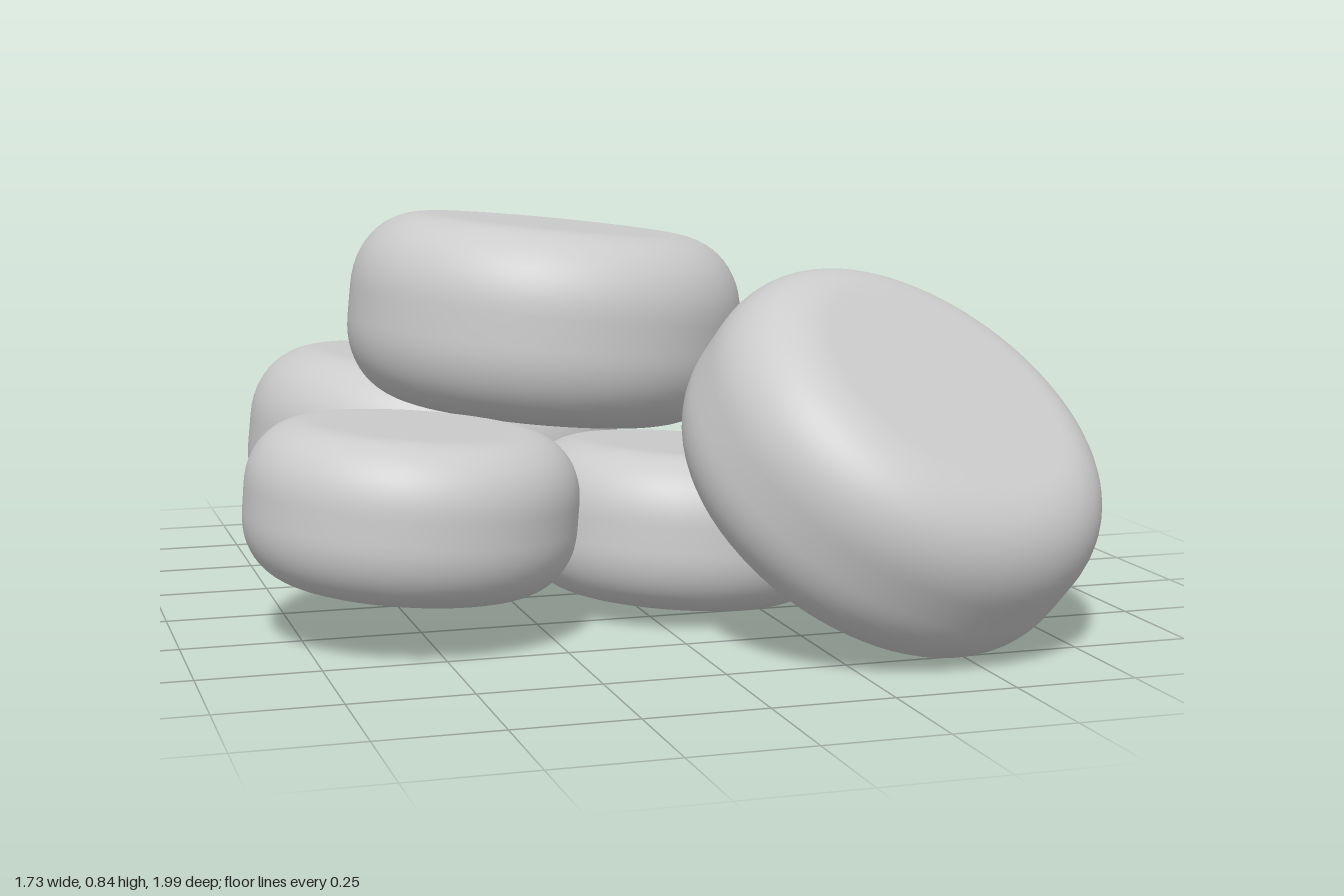
import * as THREE from 'three';

const UP = new THREE.Vector3(0, 1, 0);
const material = new THREE.MeshStandardMaterial({ color: 0xcccccc });

// Round pebble: flat faces with a soft rounded rim, turned around its axis
function pebbleGeometry(radius, halfHeight) {
  const round = radius * 0.38;
  const roundY = halfHeight * 0.84;
  const power = 2 / 2.15;
  const steps = 14;
  const upper = [];
  for (let i = 0; i <= steps; i++) {
    const a = (i / steps) * Math.PI / 2;
    const c = Math.max(0, Math.cos(a)), s = Math.sin(a);
    upper.push(new THREE.Vector2(
      radius - round + round * Math.pow(c, power),
      halfHeight - roundY + roundY * Math.pow(s, power)
    ));
  }
  const lower = upper.map(p => new THREE.Vector2(p.x, -p.y)).reverse();
  const points = [
    new THREE.Vector2(0, -halfHeight),
    ...lower,
    ...upper,
    new THREE.Vector2(0, halfHeight)
  ];
  return new THREE.LatheGeometry(points, 72);
}

export function createModel() {
  const group = new THREE.Group();
  group.name = 'pebblePile';

  const large = pebbleGeometry(0.442, 0.212);
  const small = pebbleGeometry(0.345, 0.166);

  // name, shape, centre, direction of the pebble's axis
  const pebbles = [
    ['backPebble', large, [-0.295, 0.27, -0.56], [0.1, 1, 0]],
    ['topPebble', large, [-0.115, 0.612, -0.193], [0.1, 1, 0]],
    ['leaningPebble', large, [0.42, 0.384, 0.566], [0.32, 0.78, 0.54]],
    ['sidePebble', small, [-0.52, 0.283, 0.265], [0.08, 1, 0]],
    ['middlePebble', small, [0.11, 0.192, 0.108], [0.075, 1, -0.03]]
  ];

  for (const [name, geometry, centre, axis] of pebbles) {
    const mesh = new THREE.Mesh(geometry, material);
    mesh.name = name;
    mesh.position.set(...centre);
    mesh.quaternion.setFromUnitVectors(UP, new THREE.Vector3(...axis).normalize());
    group.add(mesh);
  }
  return group;
}
